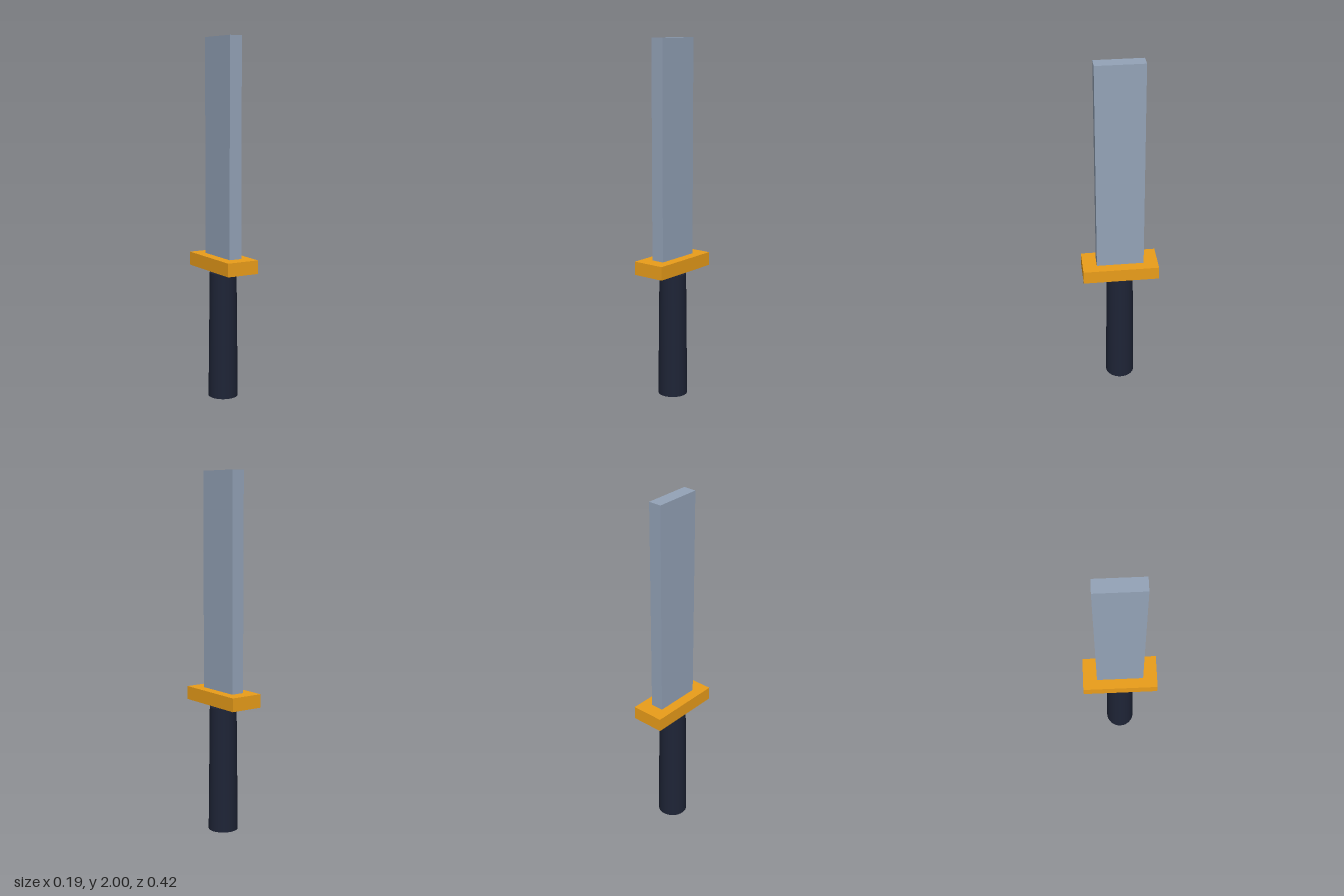
import * as THREE from 'three';

export function createModel() {
  const model = new THREE.Group();

  const add = (name, geometry, color, y) => {
    const mesh = new THREE.Mesh(geometry, new THREE.MeshStandardMaterial({ color }));
    mesh.name = name;
    mesh.position.y = y;
    model.add(mesh);
  };

  // Slab blade with square edges
  add('blade', new THREE.BoxGeometry(0.074, 1.2, 0.264), 0x94a3b8, 1.4);

  // Flat crossguard, wide along the blade's width
  add('guard', new THREE.BoxGeometry(0.188, 0.075, 0.424), 0xeb9e1a, 0.7625);

  // Round grip, slightly thicker towards the pommel, standing just clear of the guard
  add('grip', new THREE.CylinderGeometry(0.075, 0.083, 0.707, 32), 0x1e2436, 0.3535);

  return model;
}
